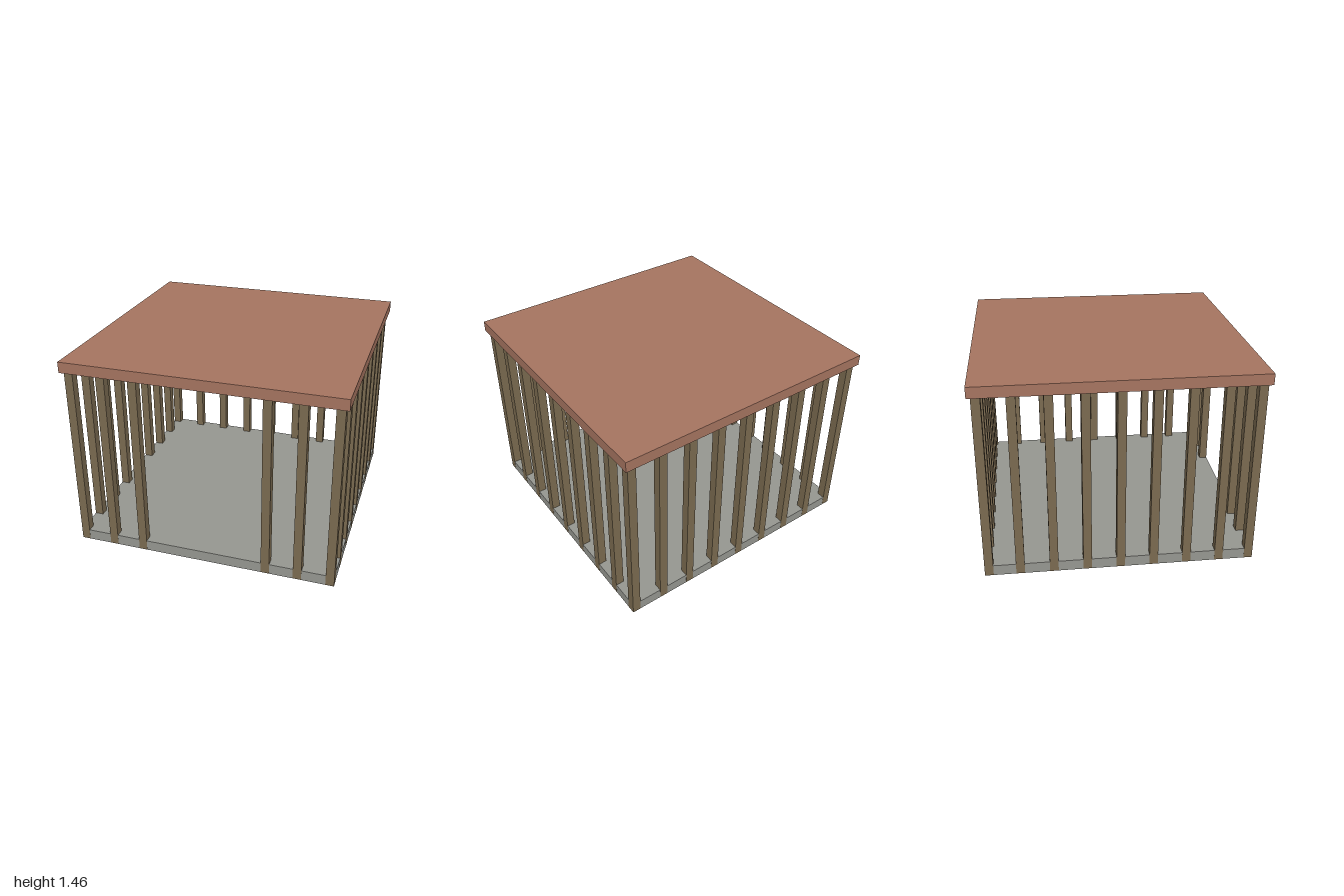
import * as THREE from 'three';

const WOOD = new THREE.MeshStandardMaterial({ name: 'wood brown', color: 0x7a6a50 });
const CLAY = new THREE.MeshStandardMaterial({ name: 'clay red', color: 0xa57460 });
const STONE = new THREE.MeshStandardMaterial({ name: 'stone grey', color: 0x959690 });

const POST = 0.062; // post thickness
const EDGE = 0.975 - POST / 2; // centre line of the posts
const SLAB = 0.08; // floor and roof thickness
const ROOF_Y = 1.382; // underside of the roof

export function createModel() {
  const model = new THREE.Group();
  model.name = 'pavilion';

  const addBox = (parent, name, material, size, position) => {
    const mesh = new THREE.Mesh(new THREE.BoxGeometry(...size), material);
    mesh.name = name;
    mesh.position.set(...position);
    parent.add(mesh);
  };

  // Floor slab, a hair inside the post faces
  addBox(model, 'floor', STONE, [1.948, SLAB, 1.948], [0, SLAB / 2, 0]);

  // Flat overhanging roof
  addBox(model, 'roof', CLAY, [2, SLAB, 2], [0, ROOF_Y + SLAB / 2, 0]);

  const posts = new THREE.Group();
  posts.name = 'posts';
  model.add(posts);
  const bottom = 0.001;
  const addPost = (name, x, z) =>
    addBox(posts, name, WOOD, [POST, ROOF_Y - bottom, POST], [x, (ROOF_Y + bottom) / 2, z]);

  // Back row is complete; the front row leaves an entrance in the middle
  for (let i = -4; i <= 4; i++) {
    const x = (i * EDGE) / 4;
    addPost('backPost', x, -EDGE);
    if (Math.abs(i) > 1) addPost('frontPost', x, EDGE);
  }

  // Side rows between the corner posts
  for (let i = -3; i <= 3; i++) {
    addPost('leftPost', EDGE, i * 0.2406);
    addPost('rightPost', -EDGE, i * 0.2406);
  }

  return model;
}
